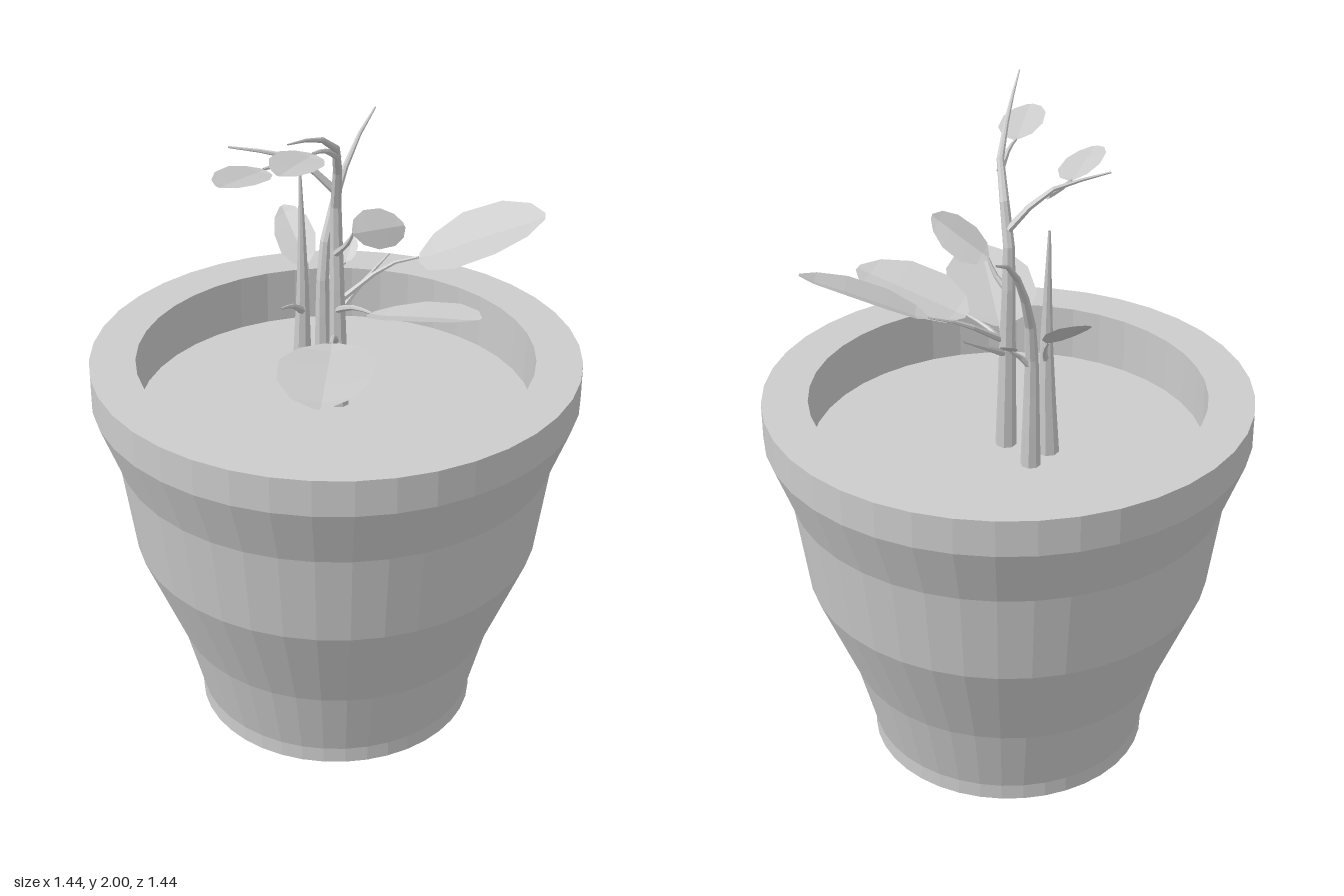
import * as THREE from 'three';

const V = (p) => new THREE.Vector3(...p);
const grey = new THREE.MeshStandardMaterial({ color: 0xcccccc, flatShading: true });
const thin = new THREE.MeshStandardMaterial({ color: 0xcccccc, flatShading: true, side: THREE.DoubleSide });

function add(group, name, geometry, material = grey) {
  const mesh = new THREE.Mesh(geometry, material);
  mesh.name = name;
  group.add(mesh);
  return mesh;
}

// Tube along a path, narrowing from radius r0 to r1
function branch(group, name, points, r0, r1, sides = 6) {
  const curve = new THREE.CatmullRomCurve3(points.map(V), false, 'centripetal');
  const steps = (points.length - 1) * 2;
  const geo = new THREE.TubeGeometry(curve, steps, 1, sides);
  const pos = geo.attributes.position;
  const v = new THREE.Vector3();
  for (let i = 0; i < pos.count; i++) {
    const t = Math.floor(i / (sides + 1)) / steps;
    const c = curve.getPointAt(t);
    v.fromBufferAttribute(pos, i).sub(c).multiplyScalar(r0 + (r1 - r0) * t).add(c);
    pos.setXYZ(i, v.x, v.y, v.z);
  }
  add(group, name, geo, thin);
}

// Faceted leaf from base to tip; side is the half-width vector
const outline = [[0, 0.15], [0.1, 0.65], [0.33, 1], [0.65, 0.95], [0.88, 0.6], [1, 0.12]];
function leaf(group, base, tip, side) {
  const a = V(base), axis = V(tip).sub(a), s = V(side);
  const up = s.clone().cross(axis).normalize();
  if (up.y < 0) up.negate();
  const verts = [], index = [];
  outline.forEach(([t, w], row) => {
    for (const k of [-1, 0, 1]) {
      const p = a.clone().addScaledVector(axis, t).addScaledVector(s, k * w);
      // shallow fold along the midrib, slight arch along the length
      p.addScaledVector(up, s.length() * (0.12 * Math.sin(Math.PI * t) - (k ? 0 : 0.14 * w)));
      verts.push(p.x, p.y, p.z);
    }
    if (row === 0) return;
    for (let c = 0; c < 2; c++) {
      const i = (row - 1) * 3 + c;
      index.push(i, i + 3, i + 1, i + 1, i + 3, i + 4);
    }
  });
  const geo = new THREE.BufferGeometry();
  geo.setAttribute('position', new THREE.Float32BufferAttribute(verts, 3));
  geo.setIndex(index);
  geo.computeVertexNormals();
  add(group, 'leaf', geo, thin);
}

export function createModel() {
  const model = new THREE.Group();
  model.name = 'pottedPlant';

  // Pot: closed foot, flared wall, thick rim, inner wall down to the soil
  const profile = [
    [0, 0], [0.425, 0], [0.425, 0.05], [0.485, 0.28], [0.61, 0.59], [0.65, 0.88],
    [0.72, 1.07], [0.72, 1.18], [0.585, 1.18], [0.585, 1.01],
  ].map(([r, y]) => new THREE.Vector2(r, y));
  add(model, 'pot', new THREE.LatheGeometry(profile, 40));

  const soil = add(model, 'soil', new THREE.CircleGeometry(0.585, 40));
  soil.rotation.x = -Math.PI / 2;
  soil.position.y = 1.01;

  const plant = new THREE.Group();
  plant.name = 'plant';
  model.add(plant);

  // Three stems rising from the soil
  branch(plant, 'mainStem', [[0.005, 1.01, -0.01], [0, 1.35, -0.01], [0, 1.69, 0], [0.04, 1.84, 0.08],
    [0.05, 1.93, 0.22], [0.06, 2, 0.45]], 0.032, 0.002, 8);
  branch(plant, 'shortStem', [[-0.125, 1.01, -0.03], [-0.118, 1.35, -0.03], [-0.123, 1.71, -0.03]], 0.034, 0.004, 8);
  branch(plant, 'backStem', [[-0.09, 1.01, -0.115], [-0.09, 1.46, -0.13], [-0.08, 1.62, -0.22],
    [-0.07, 1.71, -0.3], [-0.06, 1.78, -0.44]], 0.03, 0.003, 8);

  // Bare twigs
  const twigs = [
    [[0, 1.69, 0], [-0.1, 1.79, 0.05], [-0.265, 1.83, 0.135]],
    [[0, 1.3, 0], [0.04, 1.37, -0.11], [0.085, 1.43, -0.2]],
    [[-0.118, 1.28, -0.03], [-0.1, 1.35, 0.08], [-0.09, 1.39, 0.185]],
  ];
  for (const path of twigs) branch(plant, 'twig', path, 0.012, 0.003);

  // Leaves: [stalk path ending at the leaf base], tip, half-width vector
  const leaves = [
    [[[0, 1.22, 0], [0.03, 1.28, 0.09], [0.06, 1.305, 0.17]], [0.22, 1.36, 0.62], [0.127, 0.005, -0.045]],
    [[[0, 1.32, 0], [0.07, 1.36, 0.04], [0.14, 1.375, 0.08]], [0.49, 1.46, 0.16], [-0.023, 0.018, 0.113]],
    [[[0, 1.34, 0], [0.12, 1.44, -0.105], [0.2, 1.465, -0.14]], [0.54, 1.61, -0.24], [0.033, -0.03, 0.126]],
    [[[0, 1.5, 0], [0.04, 1.54, 0.015], [0.065, 1.585, 0.03]], [0.245, 1.67, 0.1], [-0.025, 0.055, 0]],
    [[[-0.118, 1.3, -0.03], [-0.12, 1.36, -0.07], [-0.135, 1.4, -0.1]], [-0.265, 1.52, -0.21], [0.035, 0.02, -0.045]],
    [[[-0.1, 1.78, 0.05], [-0.13, 1.785, 0.1], [-0.15, 1.79, 0.155]], [-0.18, 1.815, 0.37], [0.06, -0.012, -0.005]],
    [[[0.04, 1.83, 0.08], [0.03, 1.87, 0.15], [0.02, 1.88, 0.205]], [0.025, 1.905, 0.435], [0.065, -0.01, 0]],
    [[[-0.09, 1.33, -0.12], [-0.06, 1.37, -0.14], [-0.04, 1.395, -0.165]], [-0.045, 1.445, -0.24], [0.025, 0, 0]],
  ];
  for (const [stalk, tip, side] of leaves) {
    branch(plant, 'leafStalk', stalk, 0.011, 0.004);
    leaf(plant, stalk[stalk.length - 1], tip, side);
  }
  return model;
}
